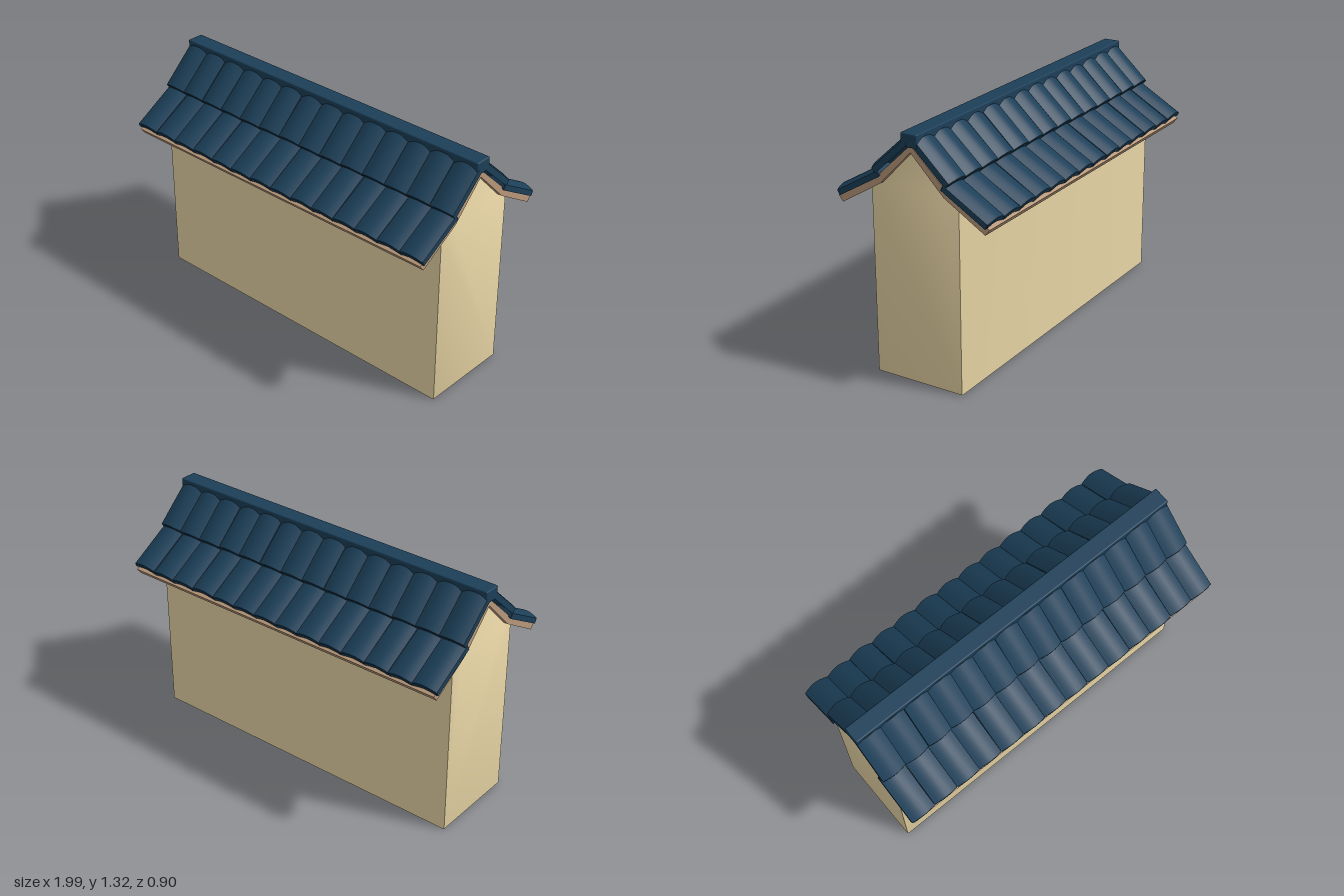
import * as THREE from 'three';
import { toCreasedNormals } from 'three/addons/utils/BufferGeometryUtils.js';
import { RoundedBoxGeometry } from 'three/addons/geometries/RoundedBoxGeometry.js';

const wallMat = new THREE.MeshStandardMaterial({ color: 0xe8d5a5 });
const boardMat = new THREE.MeshStandardMaterial({ color: 0xb8987a });
const tileMat = new THREE.MeshStandardMaterial({ color: 0x1c3f58 });

const TILES = 14;
const PITCH = 1.99 / TILES;

// Mirrors half an outline of [z, y] points into a closed shape
function mirroredShape(half) {
  const other = half.slice().reverse().filter(([z]) => z > 0).map(([z, y]) => [-z, y]);
  return new THREE.Shape([...half, ...other].map(([z, y]) => new THREE.Vector2(z, y)));
}

// Extrudes a z/y profile along x, centred on x = 0
function alongX(shape, length, bevel) {
  const geo = new THREE.ExtrudeGeometry(shape, {
    depth: length - 2 * bevel, bevelEnabled: bevel > 0,
    bevelSize: bevel, bevelThickness: bevel, bevelOffset: -bevel, bevelSegments: 2,
  });
  geo.translate(0, 0, -length / 2 + bevel);
  geo.rotateY(Math.PI / 2);
  return toCreasedNormals(geo, 0.6);
}

// Arched roof tile: arch in x/y, lower end at z = 0, running up to z = -length
function tileGeometry(length, thick, bulge) {
  const w = PITCH / 2, n = 6, top = [], under = [];
  for (let i = 0; i <= n; i++) {
    const u = -1 + (2 * i) / n;
    const y = bulge * (1 - Math.abs(u) ** 1.7);
    under.push(new THREE.Vector2(u * w, y));
    top.unshift(new THREE.Vector2(u * w, y + thick));
  }
  const b = 0.003;
  const geo = new THREE.ExtrudeGeometry(new THREE.Shape([...under, ...top]), {
    depth: length - 2 * b, bevelSize: b, bevelThickness: b, bevelOffset: -b, bevelSegments: 1,
  });
  geo.translate(0, 0, -length + b);
  return toCreasedNormals(geo, 0.5);
}

function seededRandom(seed) {
  return () => {
    seed = (seed * 16807) % 2147483647;
    return seed / 2147483647 - 0.5;
  };
}

export function createModel() {
  const model = new THREE.Group();
  model.name = 'roofedWall';
  const add = (parent, name, geo, mat) => {
    const mesh = new THREE.Mesh(geo, mat);
    mesh.name = name;
    parent.add(mesh);
    return mesh;
  };

  // Wall with pointed gable ends
  const wall = mirroredShape([[0.253, 0], [0.253, 0.99], [0.18, 1.035], [0, 1.225]]);
  add(model, 'wall', alongX(wall, 1.916, 0.005), wallMat);

  // Bent boarding beneath the tiles
  const boards = mirroredShape([
    [0, 1.218], [0.183, 1.03], [0.413, 0.89], [0.438, 0.922], [0.2, 1.066], [0, 1.255],
  ]);
  add(model, 'roofBoards', alongX(boards, 1.964, 0), boardMat);

  // Two rows of tiles on each slope
  const rows = [
    { name: 'lowerTile', y: 0.923, z: 0.425, angle: 0.524, geo: tileGeometry(0.288, 0.029, 0.02) },
    { name: 'upperTile', y: 1.082, z: 0.204, angle: 0.744, geo: tileGeometry(0.26, 0.032, 0.021) },
  ];
  const rand = seededRandom(4711);
  for (const side of ['front', 'back']) {
    const slope = new THREE.Group();
    slope.name = side + 'Slope';
    if (side === 'back') slope.rotation.y = Math.PI;
    for (const row of rows) {
      for (let i = 0; i < TILES; i++) {
        const tile = add(slope, row.name, row.geo, tileMat);
        tile.position.set((i - (TILES - 1) / 2) * PITCH + rand() * 0.003, row.y + rand() * 0.005, row.z + rand() * 0.004);
        tile.rotation.set(row.angle + rand() * 0.015, rand() * 0.018, 0);
      }
    }
    model.add(slope);
  }

  // Ridge cap
  const ridge = add(model, 'ridgeCap', new RoundedBoxGeometry(1.99, 0.07, 0.094, 2, 0.007), tileMat);
  ridge.position.y = 1.281;

  return model;
}
